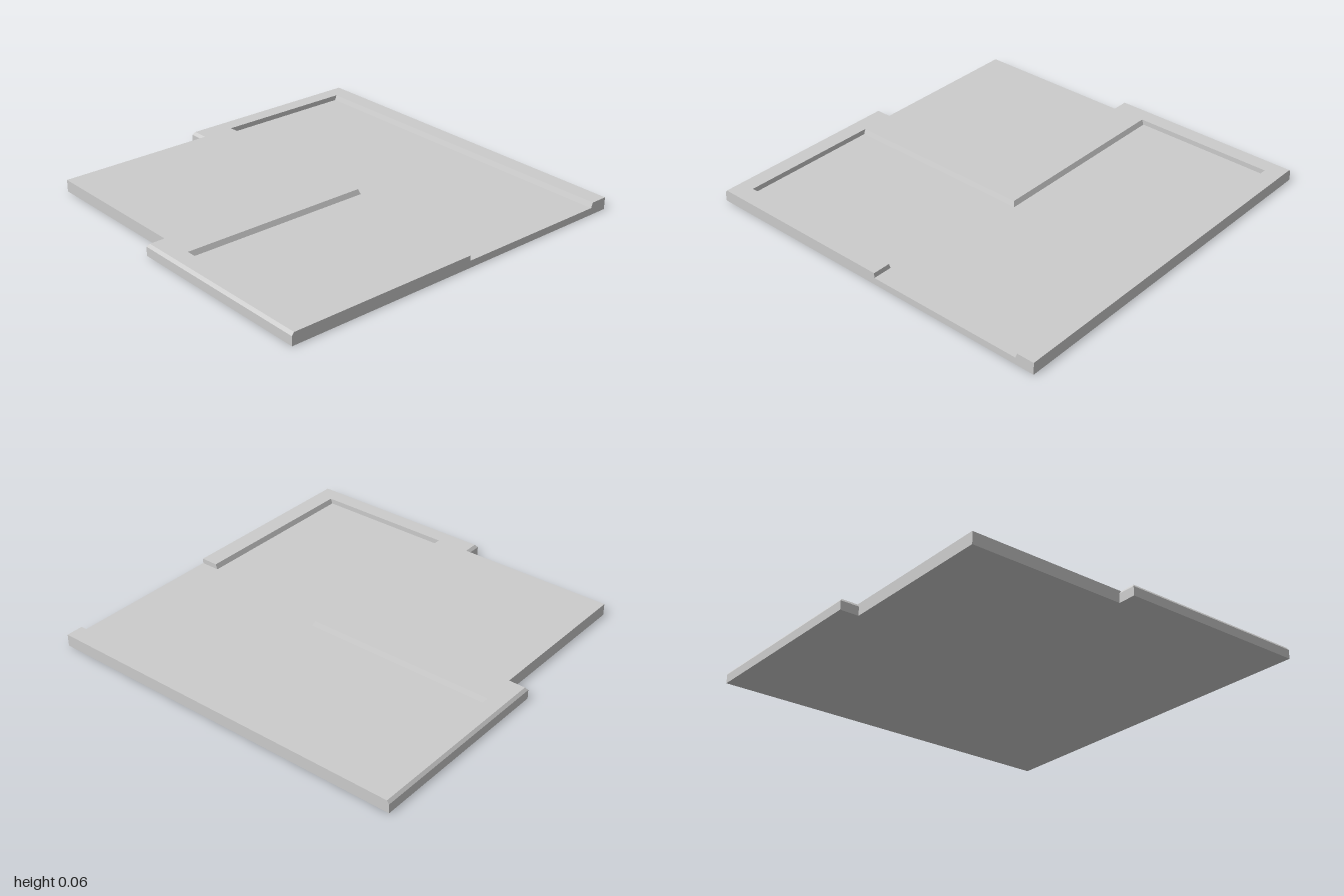
import * as THREE from 'three';

const FLOOR = 0.037, BEVEL_Y = 0.048, TOP = 0.064;

// Outer outline: [x, z, top x, top z], anticlockwise from above; top differs where the edge is bevelled
const outer = [
  [1, 1, 1, 1], [1, -1, 1, -0.988],
  [-0.054, -1, -0.042, -0.988], [-0.054, -0.9, -0.042, -0.9],
  [-0.906, -0.9, -0.906, -0.9], [-0.906, -0.054, -0.906, -0.042],
  [-1, -0.054, -0.988, -0.042], [-1, 1, -0.988, 1],
];

// L-shaped recess, open at the front, with some sloping walls
const recess = [
  [0.05, 1, 0.05, 1], [0.05, 0.896, 0.05, 0.906],
  [-0.903, 0.896, -0.903, 0.906], [-0.903, 0.148, -0.903, 0.138],
  [0.149, 0.148, 0.139, 0.138], [0.149, -0.904, 0.139, -0.904],
  [0.898, -0.904, 0.908, -0.904], [0.898, 1, 0.908, 1],
];

// Skins stacked rings of [x, y, z] points and closes the top
function loft(rings) {
  const pos = [], n = rings[0].length;
  for (let r = 0; r < rings.length - 1; r++) {
    for (let i = 0; i < n; i++) {
      const j = (i + 1) % n;
      const a = rings[r][i], b = rings[r][j], c = rings[r + 1][j], d = rings[r + 1][i];
      pos.push(...a, ...b, ...c, ...a, ...c, ...d);
    }
  }
  const top = rings[rings.length - 1];
  const flat = top.map(p => new THREE.Vector2(p[0], -p[2]));
  for (const tri of THREE.ShapeUtils.triangulateShape(flat, [])) {
    for (const k of tri) pos.push(...top[k]);
  }
  const g = new THREE.BufferGeometry();
  g.setAttribute('position', new THREE.Float32BufferAttribute(pos, 3));
  g.computeVertexNormals();
  return g;
}

const ring = (points, y, t) =>
  points.map(([x, z, tx, tz]) => [x + (tx - x) * t, y, z + (tz - z) * t]);

export function createModel() {
  const group = new THREE.Group();
  group.name = 'floorTile';
  const material = new THREE.MeshStandardMaterial({ color: 0xcccccc, flatShading: true });
  const add = (geometry, name) => {
    const mesh = new THREE.Mesh(geometry, material);
    mesh.name = name;
    group.add(mesh);
  };

  // Base slab, whose top is the recess floor
  const outline = new THREE.Shape(outer.map(([x, z]) => new THREE.Vector2(x, -z)));
  const slab = new THREE.ExtrudeGeometry(outline, { depth: FLOOR, bevelEnabled: false });
  add(slab.rotateX(-Math.PI / 2), 'baseSlab');

  // Raised rim and corner platform: outer edge bevels near the top, recess walls slope evenly
  const all = [...outer, ...recess];
  const slope = (BEVEL_Y - FLOOR) / (TOP - FLOOR);
  add(loft([
    ring(all, FLOOR, 0),
    [...ring(outer, BEVEL_Y, 0), ...ring(recess, BEVEL_Y, slope)],
    ring(all, TOP, 1),
  ]), 'raisedRim');

  return group;
}
